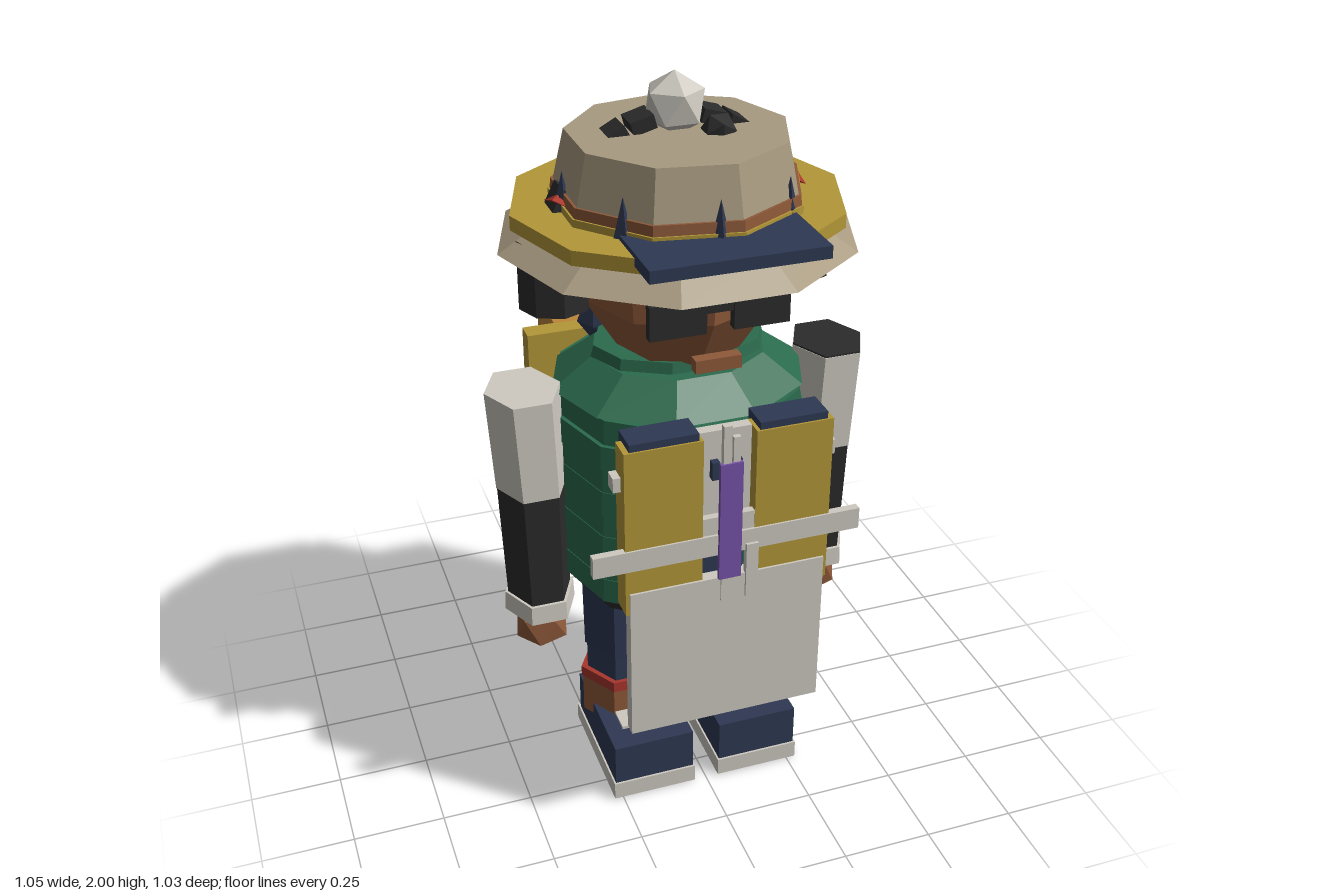
import * as THREE from 'three';

const mat = (name, color) => {
  const m = new THREE.MeshStandardMaterial({ color, flatShading: true, side: THREE.DoubleSide });
  m.name = name;
  return m;
};

export function createModel() {
  const beige = mat('hat beige', 0xa89a80), yellow = mat('mustard', 0xb39738), orange = mat('pack orange', 0xbd8638);
  const navy = mat('navy', 0x2e3852), green = mat('jacket green', 0x2b6a4d), brown = mat('skin brown', 0x8f5a3a);
  const red = mat('red', 0xa8362d), light = mat('light grey', 0xcecac1), dark = mat('charcoal', 0x2b2b2b);
  const purple = mat('purple', 0x7653a8);
  const model = new THREE.Group();
  const Z = 0.075; // depth of the body axis

  const add = (name, geo, material, x = 0, y = 0, z = 0) => {
    const m = new THREE.Mesh(geo, material);
    m.name = name;
    m.position.set(x, y, z);
    model.add(m);
    return m;
  };
  // box given by its limits on each axis
  const box = (name, material, x0, x1, y0, y1, z0, z1) =>
    add(name, new THREE.BoxGeometry(x1 - x0, y1 - y0, z1 - z0), material, (x0 + x1) / 2, (y0 + y1) / 2, (z0 + z1) / 2);
  // box mirrored to both sides
  const pair = (name, material, x0, x1, ...rest) => {
    box(name + 'Left', material, x0, x1, ...rest);
    box(name + 'Right', material, -x1, -x0, ...rest);
  };
  // faceted ring with a corner on +x
  const ring = (name, material, rBottom, rTop, y0, y1, sides = 10, open = false, x = 0, z = Z) =>
    add(name, new THREE.CylinderGeometry(rTop, rBottom, y1 - y0, sides, 1, open, Math.PI / 2), material, x, (y0 + y1) / 2, z);

  // Padded jacket
  const bands = 8, bandHeight = (1.2 - 0.66) / bands;
  for (let i = 0; i < bands; i++) {
    const y = 0.66 + i * bandHeight, r = 0.362 - 0.006 * (i % 2) - (i === bands - 1 ? 0.01 : 0);
    ring('jacketBand', green, r, r - 0.004, y, y + bandHeight).scale.x = 0.96;
  }
  ring('jacketHem', dark, 0.352, 0.357, 0.63, 0.662).scale.x = 0.92;
  const shoulders = ring('shoulders', green, 0.345, 0.235, 1.2, 1.28);
  shoulders.scale.z = 0.9;
  ring('collar', green, 0.24, 0.23, 1.27, 1.31).scale.z = 0.74;

  // Vest panels, straps and apron
  box('shirtStrip', light, -0.07, 0.07, 0.93, 1.21, 0.4, 0.43);
  box('beltPatch', navy, -0.07, 0.05, 0.78, 0.87, 0.41, 0.44);
  pair('vestPanel', yellow, 0.07, 0.275, 0.735, 1.21, 0.4, 0.467);
  pair('vestTrim', navy, 0.08, 0.26, 1.2, 1.23, 0.38, 0.462);
  pair('vestBackPanel', yellow, 0.1, 0.33, 0.735, 1.21, -0.283, -0.225);
  pair('vestClip', light, 0.27, 0.295, 1.09, 1.13, 0.4, 0.44);
  pair('chestTag', navy, 0.02, 0.04, 1.08, 1.13, 0.42, 0.45);
  box('frontStrap', light, -0.36, 0.36, 0.87, 0.93, 0.45, 0.472);
  box('backStrap', light, -0.36, 0.36, 0.875, 0.93, -0.303, -0.283);
  box('buckle', light, -0.08, 0.08, 0.93, 0.98, 0.445, 0.465);
  box('longCord', light, -0.022, 0.0, 0.73, 1.245, 0.462, 0.478);
  box('upperCord', light, 0.005, 0.024, 0.9, 1.21, 0.462, 0.476);
  box('shortCord', light, 0.045, 0.078, 0.73, 0.89, 0.462, 0.48);
  box('purpleTie', purple, -0.03, 0.03, 0.8, 1.14, 0.47, 0.482);
  box('apron', light, -0.265, 0.265, 0.35, 0.8, 0.435, 0.473);

  // Backpack and bedroll
  box('backpack', orange, -0.24, 0.24, 0.735, 1.21, -0.465, -0.235);
  box('backpackPocket', orange, -0.173, 0.173, 0.77, 0.97, -0.52, -0.46);
  add('bedroll', new THREE.IcosahedronGeometry(1, 1), navy, 0, 1.255, -0.185).scale.set(0.2, 0.105, 0.105);

  // Arms, legs and shoes
  for (const s of [1, -1]) {
    const side = s > 0 ? 'Left' : 'Right';
    const segment = (name, material, x0, x1, r0, r1, y0, y1) => {
      const geo = new THREE.CylinderGeometry(r1, r0, y1 - y0, 6, 1, false, Math.PI / 2);
      geo.scale(0.86, 1, 1.04);
      const p = geo.attributes.position;
      for (let i = 0; i < p.count; i++) p.setX(i, p.getX(i) + s * (p.getY(i) > 0 ? x1 : x0));
      add(name + side, geo, material, 0, (y0 + y1) / 2, 0.085);
    };
    segment('sleeve', dark, 0.405, 0.412, 0.102, 0.11, 0.59, 0.95);
    segment('upperSleeve', light, 0.412, 0.425, 0.112, 0.117, 0.94, 1.225);
    if (s > 0) segment('sleeveCap', dark, 0.425, 0.425, 0.115, 0.115, 1.225, 1.23);
    segment('cuff', light, 0.405, 0.405, 0.115, 0.112, 0.55, 0.605);
    const hand = add('hand' + side, new THREE.IcosahedronGeometry(0.08, 0), brown, s * 0.405, 0.49, 0.092);
    hand.rotation.z = -0.5536;

    const x = s * 0.165;
    ring('upperLeg' + side, navy, 0.116, 0.12, 0.38, 0.66, 6, false, x, 0.088);
    ring('lowerLeg' + side, navy, 0.11, 0.11, 0.285, 0.385, 6, false, x, 0.088).scale.z = 0.97;
    ring('redSock' + side, red, 0.128, 0.128, 0.262, 0.294, 6, false, x, 0.085).scale.z = 0.96;
    ring('gaiter' + side, brown, 0.124, 0.124, 0.14, 0.265, 6, false, x, 0.085).scale.z = 0.93;
    box('shoe' + side, navy, x - 0.115 - s * 0.01, x + 0.115 - s * 0.01, 0.05, 0.177, -0.025, 0.33);
    box('shoeTongue' + side, light, x - 0.06, x + 0.04, 0.17, 0.186, 0.17, 0.255);
    box('sole' + side, light, x - 0.12 - s * 0.01, x + 0.12 - s * 0.01, 0.003, 0.055, -0.04, 0.336);
    box('soleTread' + side, beige, x - 0.09 - s * 0.01, x + 0.09 - s * 0.01, 0, 0.006, -0.01, 0.305);
  }

  // Head, hair and face
  ring('jaw', brown, 0.165, 0.257, 1.3, 1.45, 8, false, 0, 0.085);
  ring('head', brown, 0.257, 0.272, 1.45, 1.64, 8, false, 0, 0.085);
  const hair = add('hair', new THREE.IcosahedronGeometry(0.27, 1), dark, 0, 1.59, 0.02);
  hair.scale.set(0.98, 0.4, 0.99);
  box('mouth', brown, -0.06, 0.06, 1.345, 1.38, 0.345, 0.377);
  pair('lens', dark, 0.035, 0.18, 1.455, 1.545, 0.357, 0.385);
  pair('lensTop', dark, 0.07, 0.14, 1.54, 1.57, 0.357, 0.395);
  box('glassesBridge', dark, -0.04, 0.04, 1.505, 1.532, 0.36, 0.38);

  // Headphones: upright ear cups with red undersides, joined by a segmented band
  for (const s of [1, -1]) {
    ring('earCup', dark, 0.093, 0.093, 1.438, 1.62, 8, false, s * 0.325, 0.068);
    ring('earCupPad', red, 0.062, 0.062, 1.432, 1.44, 8, false, s * 0.325, 0.068);
    for (const a of [0.28, 0.5, 0.82, 1.12, 1.4]) {
      const part = box('headphoneBand', dark, -0.031, 0.031, -0.018, 0.018, -0.038, 0.038);
      part.position.set(s * 0.33 * Math.sin(a), 1.565 + 0.33 * Math.cos(a), 0.047);
      part.rotation.z = -s * a;
    }
  }

  // Layered hat
  ring('strawBrim', beige, 0.465, 0.36, 1.59, 1.655, 10, true, 0, 0.065);
  ring('brimLining', beige, 0.37, 0.37, 1.638, 1.649, 10, false, 0, 0.065);
  ring('yellowBrim', yellow, 0.43, 0.43, 1.65, 1.688, 10, false, 0, 0.065);
  ring('yellowBand', yellow, 0.325, 0.325, 1.685, 1.708, 9);
  ring('brownBand', brown, 0.32, 0.318, 1.705, 1.735, 9);
  ring('crown', beige, 0.312, 0.282, 1.73, 1.862, 9);
  box('capVisor', navy, -0.223, 0.223, 1.668, 1.7, 0.28, 0.515);
  const ball = add('hatBall', new THREE.IcosahedronGeometry(0.083, 0), light, 0, 1.917, 0.045);
  ball.rotation.x = -1.017;
  add('hatButton', new THREE.IcosahedronGeometry(0.045, 0), dark, 0.088, 1.865, 0.12);

  // Red scraps and navy points tucked round the hat band
  for (const offset of [-1.5, -0.9, 0, 0.7, 1.5]) {
    const a = Math.PI + offset;
    const scrap = add('redScrap', new THREE.TetrahedronGeometry(0.06), red, 0.295 * Math.sin(a), 1.71, Z + 0.295 * Math.cos(a));
    scrap.rotation.y = a;
    scrap.scale.set(1.6, 0.6, 1);
  }
  for (let i = 0; i < 8; i++) {
    const a = i * Math.PI / 4;
    add('navyPoint', new THREE.ConeGeometry(0.024, 0.1, 4), navy, 0.298 * Math.sin(a), 1.74, Z + 0.298 * Math.cos(a));
  }
  return model;
}
